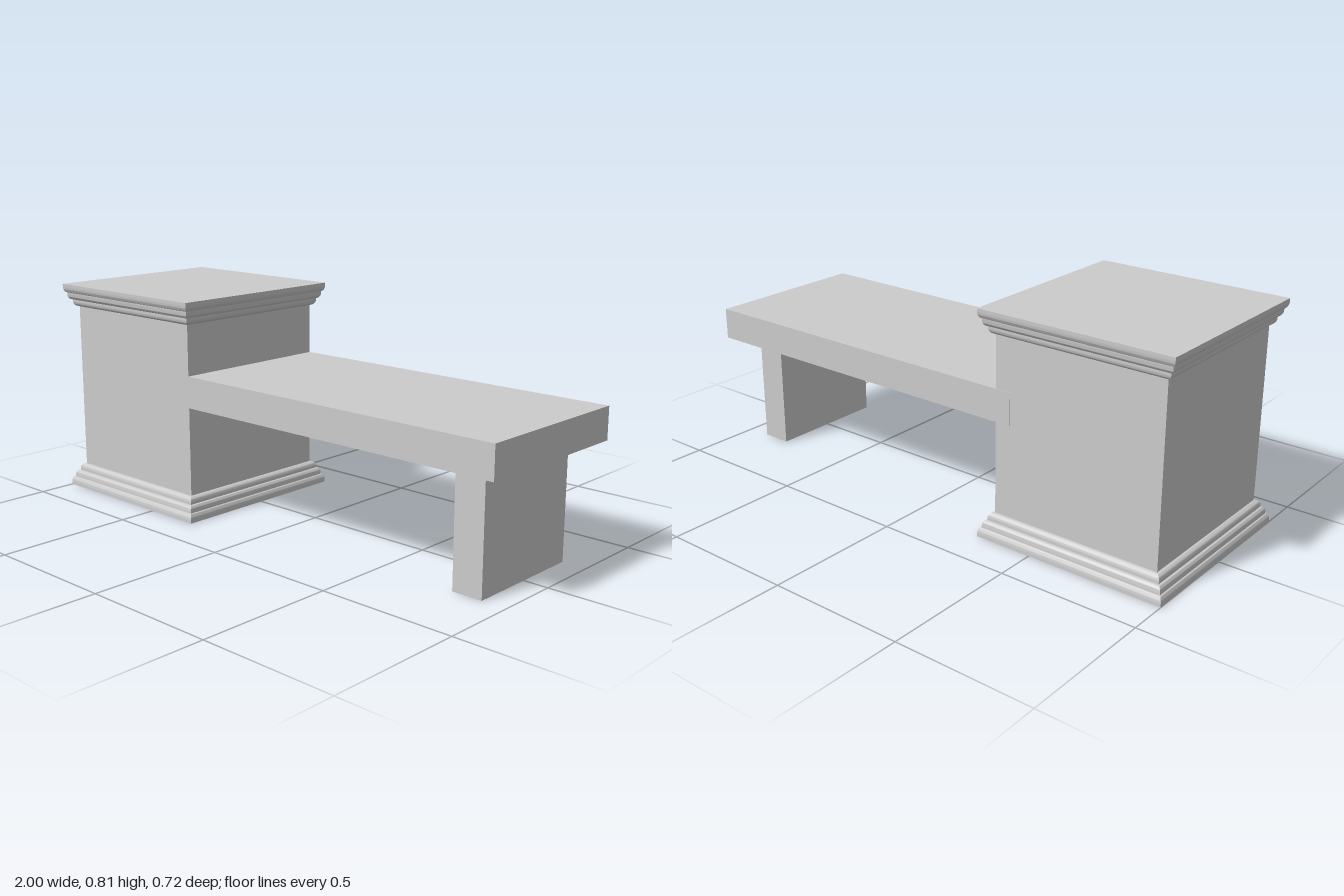
import * as THREE from 'three';
import { toCreasedNormals } from 'three/addons/utils/BufferGeometryUtils.js';

const material = new THREE.MeshStandardMaterial({ color: 0xcccccc });

function box(name, x0, x1, y0, y1, halfZ) {
  const mesh = new THREE.Mesh(new THREE.BoxGeometry(x1 - x0, y1 - y0, halfZ * 2), material);
  mesh.name = name;
  mesh.position.set((x0 + x1) / 2, (y0 + y1) / 2, 0);
  return mesh;
}

// Square moulding: three stacked rounded steps, widest at the bottom
function mouldingGeometry() {
  const halves = [0.3585, 0.347, 0.333, 0.315]; // half width at the foot of each step
  const levels = [0, 0.033, 0.06, 0.087];
  const points = [new THREE.Vector2(0, 0)];
  for (let i = 0; i < 3; i++) {
    const h = levels[i + 1] - levels[i];
    const inset = halves[i] - halves[i + 1];
    points.push(new THREE.Vector2(halves[i], levels[i]));
    for (let k = 0; k <= 8; k++) {
      const a = (k / 8) * Math.PI / 2;
      points.push(new THREE.Vector2(
        halves[i + 1] + inset * Math.cos(a),
        levels[i] + h * (0.3 + 0.7 * Math.sin(a))));
    }
  }
  points.push(new THREE.Vector2(0, levels[3]));
  // Four lathe segments turned by 45 degrees give mitred square corners
  points.forEach((p) => { p.x *= Math.SQRT2; });
  const geometry = new THREE.LatheGeometry(points, 4);
  geometry.rotateY(Math.PI / 4);
  return toCreasedNormals(geometry, 0.7);
}

export function createModel() {
  const model = new THREE.Group();
  const height = 0.807;
  const centreX = -0.6415;

  // Pedestal: shaft between a base moulding and the same moulding inverted
  const pedestal = new THREE.Group();
  pedestal.name = 'pedestal';
  const geometry = mouldingGeometry();
  const base = new THREE.Mesh(geometry, material);
  base.name = 'baseMoulding';
  base.position.x = centreX;
  const cap = new THREE.Mesh(geometry, material);
  cap.name = 'capMoulding';
  cap.position.set(centreX, height, 0);
  cap.rotation.x = Math.PI;
  pedestal.add(base, cap, box('shaft', centreX - 0.315, centreX + 0.315, 0.087, 0.72, 0.315));

  // Bench slab runs into the pedestal, with a slab leg at its far end
  const bench = new THREE.Group();
  bench.name = 'bench';
  bench.add(
    box('seat', -0.383, 1, 0.417, 0.533, 0.317),
    box('leg', 0.798, 0.91, 0, 0.417, 0.229));

  model.add(pedestal, bench);
  return model;
}
